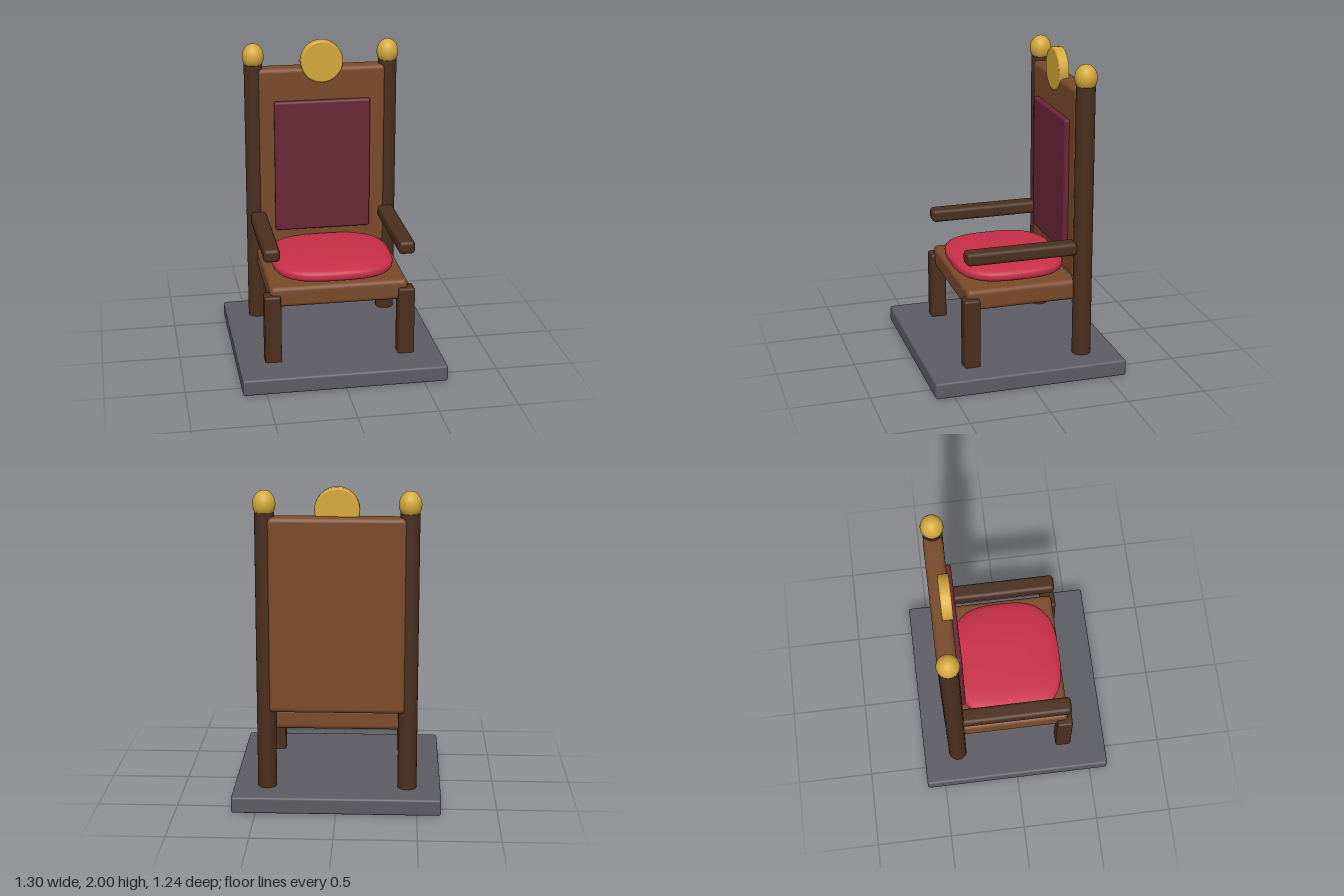
import * as THREE from 'three';
import { mergeVertices } from 'three/addons/utils/BufferGeometryUtils.js';
import { RoundedBoxGeometry } from 'three/addons/geometries/RoundedBoxGeometry.js';

const mat = (color) => new THREE.MeshStandardMaterial({ color });

// Superellipsoid: a sphere pushed out towards its box, exponent 3
function pillowGeometry(rx, ry, rz) {
  const geo = new THREE.SphereGeometry(1, 48, 32);
  const p = geo.attributes.position;
  const v = new THREE.Vector3();
  for (let i = 0; i < p.count; i++) {
    v.fromBufferAttribute(p, i);
    const k = Math.cbrt(Math.abs(v.x) ** 3 + Math.abs(v.y) ** 3 + Math.abs(v.z) ** 3);
    p.setXYZ(i, (v.x / k) * rx, (v.y / k) * ry, (v.z / k) * rz);
  }
  geo.deleteAttribute('uv');
  geo.deleteAttribute('normal');
  const merged = mergeVertices(geo, 1e-5);
  merged.computeVertexNormals();
  return merged;
}

export function createModel() {
  const group = new THREE.Group();
  const stone = mat(0x5c5c63);
  const wood = mat(0x7a4a2a);
  const darkWood = mat(0x4a2f1e);
  const velvet = mat(0xc92f48);
  const darkVelvet = mat(0x6a2636);
  const gold = mat(0xd4a93a);

  const add = (name, geo, material, x, y, z) => {
    const mesh = new THREE.Mesh(geo, material);
    mesh.name = name;
    mesh.position.set(x, y, z);
    group.add(mesh);
    return mesh;
  };
  // Rounded box given by its min and max on each axis
  const box = (name, material, [x0, x1], [y0, y1], [z0, z1], r) =>
    add(name, new RoundedBoxGeometry(x1 - x0, y1 - y0, z1 - z0, 3, r), material,
      (x0 + x1) / 2, (y0 + y1) / 2, (z0 + z1) / 2);

  // Plinth, seat and backrest
  box('plinth', stone, [-0.65, 0.65], [0, 0.105], [-0.62, 0.62], 0.015);
  box('seat', wood, [-0.44, 0.44], [0.465, 0.6], [-0.36, 0.36], 0.03);
  box('backPanel', wood, [-0.425, 0.425], [0.6, 1.825], [-0.453, -0.333], 0.03);
  box('backCushion', darkVelvet, [-0.315, 0.315], [0.73, 1.61], [-0.36, -0.302], 0.015);
  add('seatCushion', pillowGeometry(0.39, 0.061, 0.355), velvet, 0, 0.648, 0);

  // Posts, finials, legs and armrests on both sides
  for (const [side, s] of [['left', 1], ['right', -1]]) {
    const span = s > 0 ? [0.375, 0.48] : [-0.48, -0.375];
    add(side + 'Post', new THREE.CylinderGeometry(0.06, 0.06, 1.77, 24), darkWood, s * 0.44, 0.965, -0.39);
    add(side + 'Finial', new THREE.SphereGeometry(0.07, 32, 20), gold, s * 0.44, 1.9, -0.39).scale.y = 1.2;
    box(side + 'FrontLeg', darkWood, span, [0.09, 0.55], [0.285, 0.388], 0.015);
    box(side + 'Armrest', darkWood, span, [0.775, 0.86], [-0.345, 0.37], 0.025);
  }

  // Round crest disc with a softened rim
  const r = 0.138, h = 0.034, b = 0.01;
  const profile = [[0, -h], [r - b, -h], [r - b, -h], [r - 0.003, -h + 0.003], [r, -h + b],
    [r, h - b], [r - 0.003, h - 0.003], [r - b, h], [r - b, h], [0, h]]
    .map(([x, y]) => new THREE.Vector2(x, y));
  add('crestDisc', new THREE.LatheGeometry(profile, 32), gold, 0, 1.862, -0.358).rotation.x = Math.PI / 2;

  return group;
}
